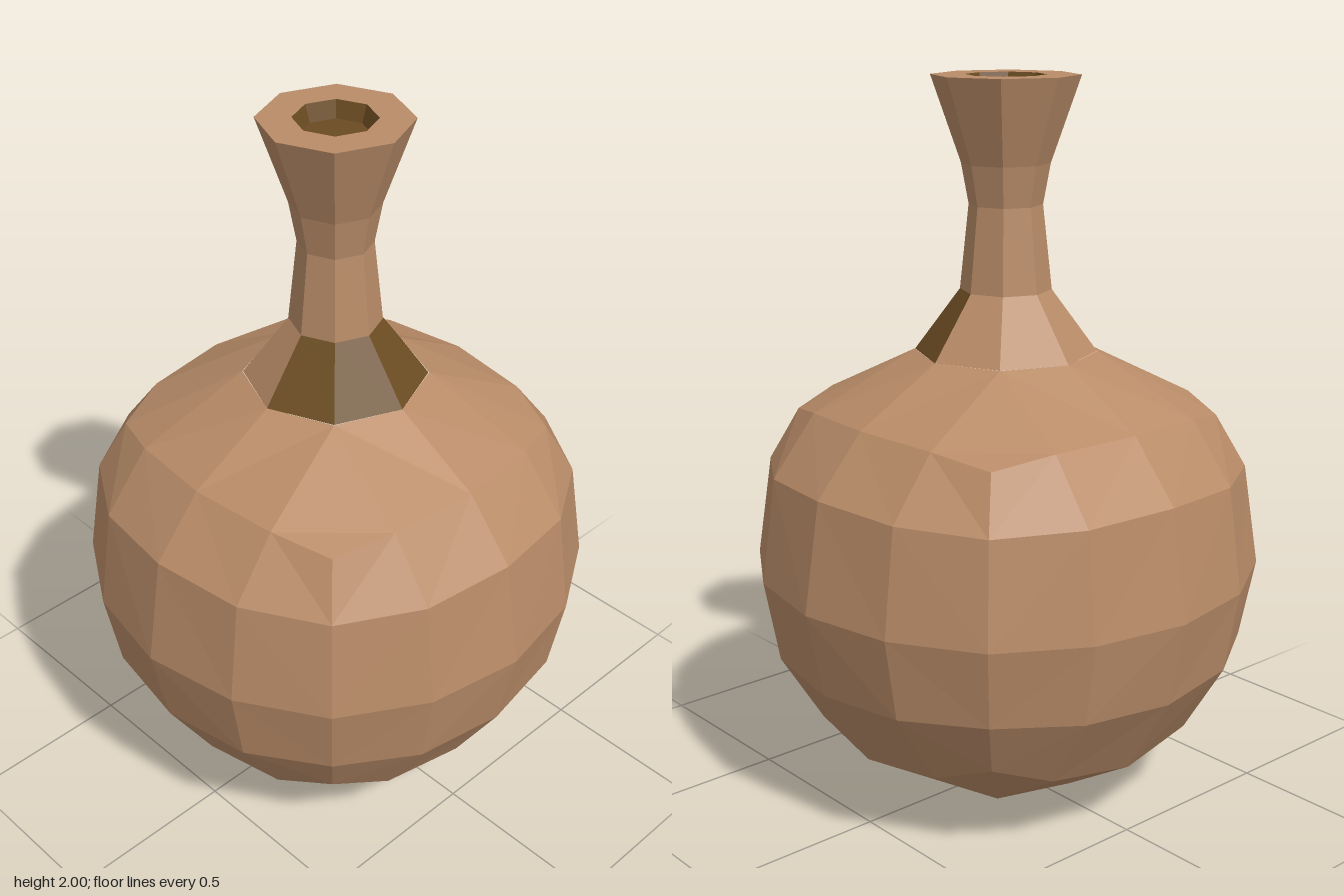
import * as THREE from 'three';

const clay = new THREE.MeshStandardMaterial({ color: 0xb98c68, flatShading: true });
clay.name = 'clay';
const darkBrown = new THREE.MeshStandardMaterial({ color: 0x6b4c22, flatShading: true });
darkBrown.name = 'dark brown';

// Where each grid step (1 or 2) of a rounded cube lands, by the kind of grid point
const ROUNDED = {
  '200': [0, 0, 0.69],
  '210': [0, 0.27, 0.64],
  '211': [0, 0.26, 0.6],
  '220': [0, 0, 0.5],
  '221': [0, 0.25, 0.47],
  '222': [0, 0, 0.41],
};
const CENTRE = 0.69;

function bodyPoint(grid) {
  const key = grid.map(Math.abs).sort((a, b) => b - a).join('');
  const p = grid.map((g) => Math.sign(g) * ROUNDED[key][Math.abs(g)]);
  let y = p[1] + CENTRE;
  if (grid[1] === 0) y = 0.66;
  if (grid[1] === 2) {
    // flattened shoulder, with an octagonal opening for the neck
    if (key === '220') y = 1.12;
    if (key === '221') y = 1.113;
    if (key === '222') y = 1.085;
    if (key === '210') return p.map((c, i) => (i === 1 ? 1.26 : Math.sign(c) * 0.25));
    if (key === '211') return p.map((c, i) => (i === 1 ? 1.26 : Math.sign(c) * 0.178));
  }
  return [p[0], y, p[2]];
}

// Round body: six 4 x 4 patches of a rounded cube
function bodyGeometry() {
  const positions = [];
  for (let axis = 0; axis < 3; axis++) {
    for (const side of [-1, 1]) {
      const at = (a, b) => {
        const grid = [0, 0, 0];
        grid[axis] = 2 * side;
        grid[(axis + 1) % 3] = a * side;
        grid[(axis + 2) % 3] = b;
        return bodyPoint(grid);
      };
      for (let a = -2; a < 2; a++) {
        for (let b = -2; b < 2; b++) {
          const opening = axis === 1 && side === 1 && Math.abs(a + 0.5) < 1 && Math.abs(b + 0.5) < 1;
          if (opening) continue;
          const [p, q, r, s] = [at(a, b), at(a + 1, b), at(a + 1, b + 1), at(a, b + 1)];
          positions.push(...p, ...q, ...r, ...p, ...r, ...s);
        }
      }
    }
  }
  const geometry = new THREE.BufferGeometry();
  geometry.setAttribute('position', new THREE.Float32BufferAttribute(positions, 3));
  geometry.computeVertexNormals();
  return geometry;
}

// Eight-sided turned part, or part of one
function turned(profile, sides = 8, start = 0) {
  const points = profile.map(([r, y]) => new THREE.Vector2(r, y));
  return new THREE.LatheGeometry(points, sides, start, (sides * Math.PI) / 4);
}

export function createModel() {
  const model = new THREE.Group();
  model.name = 'bottle';
  const add = (name, geometry, material) => {
    const mesh = new THREE.Mesh(geometry, material);
    mesh.name = name;
    model.add(mesh);
  };

  add('body', bodyGeometry(), clay);

  // Neck base: dark front half, plain back half
  const collar = [[0.25, 1.26], [0.125, 1.43]];
  add('frontCollar', turned(collar, 4, -Math.PI / 2), darkBrown);
  add('backCollar', turned(collar, 4, Math.PI / 2), clay);

  // Waisted neck flaring out to a flat rim
  add('neck', turned([[0.125, 1.43], [0.1, 1.66], [0.12, 1.77], [0.2, 2], [0.108, 2]]), clay);

  // Shallow dark mouth
  add('mouth', turned([[0.108, 2], [0.092, 1.955], [0, 1.955]]), darkBrown);

  return model;
}
